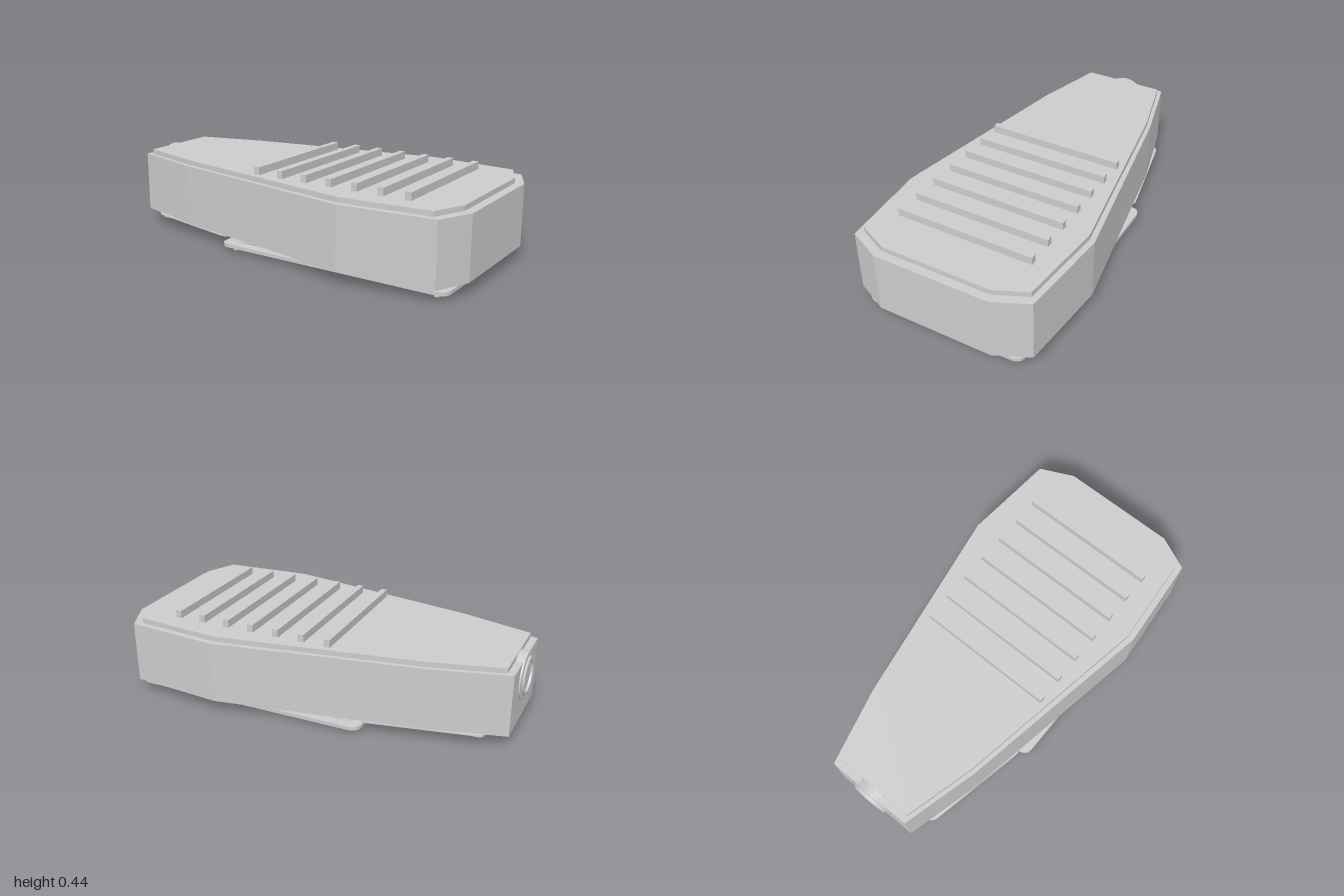
import * as THREE from 'three';

const material = new THREE.MeshStandardMaterial({ color: 0xcccccc, flatShading: true });

// Polygon mirrored across the long axis, from [x, halfWidth] points
function mirroredOutline(points) {
  const lower = points.map(([x, w]) => new THREE.Vector2(x, -w));
  const upper = points.map(([x, w]) => new THREE.Vector2(x, w)).reverse();
  return new THREE.Shape([...lower, ...upper]);
}

// Rectangle (or symmetric trapezoid) with rounded corners
function roundedOutline(x0, x1, w0, w1, r, Type = THREE.Shape) {
  const corners = [[x0, -w0], [x1, -w1], [x1, w1], [x0, w0]].map((p) => new THREE.Vector2(...p));
  const shape = new Type();
  corners.forEach((c, i) => {
    const prev = corners[(i + 3) % 4], next = corners[(i + 1) % 4];
    const a = c.clone().add(prev.clone().sub(c).setLength(r));
    const b = c.clone().add(next.clone().sub(c).setLength(r));
    if (i === 0) shape.moveTo(a.x, a.y); else shape.lineTo(a.x, a.y);
    shape.quadraticCurveTo(c.x, c.y, b.x, b.y);
  });
  shape.closePath();
  return shape;
}

export function createModel() {
  const group = new THREE.Group();

  const add = (name, geometry, x = 0, y = 0, z = 0) => {
    const mesh = new THREE.Mesh(geometry, material);
    mesh.name = name;
    mesh.position.set(x, y, z);
    group.add(mesh);
    return mesh;
  };
  // Horizontal slab between two heights
  const slab = (name, shape, y0, y1) => {
    const g = new THREE.ExtrudeGeometry(shape, { depth: y1 - y0, bevelEnabled: false, curveSegments: 8 });
    return add(name, g.rotateX(-Math.PI / 2), 0, y0, 0);
  };

  // Housing and raised lid
  slab('housing', mirroredOutline([[-0.98, 0.225], [-0.59, 0.327], [0.44, 0.51], [0.92, 0.47], [1, 0.3]]), 0.063, 0.378);
  slab('lid', mirroredOutline([[-0.945, 0.213], [-0.58, 0.308], [0.43, 0.48], [0.885, 0.442], [0.957, 0.285]]), 0.378, 0.404);

  // Cooling ribs
  for (let i = 0; i < 7; i++) {
    add('coolingRib', new THREE.BoxGeometry(0.031, 0.04, 0.715), -0.112 + i * 0.1387, 0.423, 0);
  }

  // Mounting socket at the narrow end: stepped collar with a recessed bore
  const profile = [[0, 0.988], [0.078, 0.988], [0.078, 1], [0.09, 1], [0.098, 0.99], [0.12, 0.988], [0.12, 0.945], [0, 0.945]];
  const socket = new THREE.LatheGeometry(profile.map((p) => new THREE.Vector2(...p)).reverse(), 40);
  add('mountingSocket', socket.rotateZ(Math.PI / 2), 0, 0.28, 0);

  // Rear service cover: tapered gasket, hinge blocks and panel
  slab('coverGasket', roundedOutline(-0.88, -0.29, 0.27, 0.39, 0.05), 0.058, 0.064);
  slab('serviceCover', roundedOutline(-0.87, -0.28, 0.253, 0.253, 0.04), 0.04, 0.049);
  for (const side of [-1, 1]) {
    add('hingeBlock', new THREE.BoxGeometry(0.12, 0.014, 0.028), -0.55, 0.055, side * 0.287);
  }

  // Lamp window: rounded frame, glass and corner screws
  const frame = roundedOutline(-0.303, 0.95, 0.422, 0.422, 0.055);
  frame.holes.push(roundedOutline(-0.24, 0.888, 0.368, 0.368, 0.03, THREE.Path));
  slab('lampFrame', frame, 0.022, 0.04);
  slab('lampGlass', roundedOutline(-0.25, 0.895, 0.38, 0.38, 0.03), 0.046, 0.05);
  for (const x of [-0.238, 0.885]) {
    for (const z of [-0.376, 0.376]) {
      add('frameScrew', new THREE.CylinderGeometry(0.012, 0.012, 0.006, 12), x, 0.003, z);
    }
  }
  return group;
}
